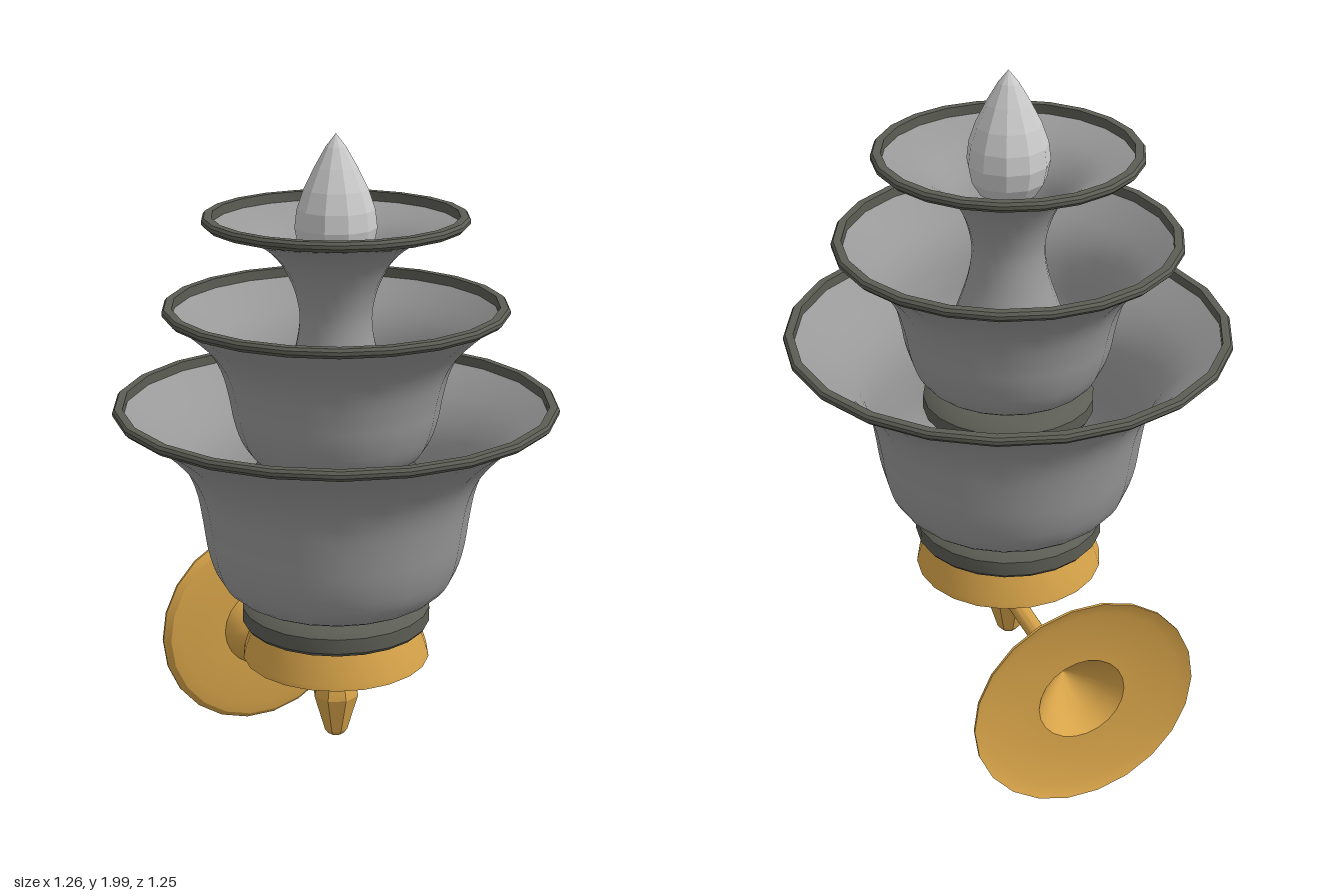
import * as THREE from 'three';
import { toCreasedNormals } from 'three/addons/utils/BufferGeometryUtils.js';

const SIDES = 22;
const glass = new THREE.MeshStandardMaterial({ color: 0x999999, side: THREE.DoubleSide });
const iron = new THREE.MeshStandardMaterial({ color: 0x5c5d54 });
const brass = new THREE.MeshStandardMaterial({ color: 0xd9a54a });
const bulbMaterial = new THREE.MeshStandardMaterial({ color: 0xcccccc, flatShading: true });

// Turned part: [radius, height] pairs, outside listed from bottom to top
function turned(name, profile, material, sides = SIDES, crease = 0.6) {
  const points = profile.map(([r, y]) => new THREE.Vector2(r, y));
  const lathe = new THREE.LatheGeometry(points, sides, Math.PI / 2);
  const mesh = new THREE.Mesh(toCreasedNormals(lathe, crease), material);
  mesh.name = name;
  return mesh;
}

// Flared shade: smooth thin bowl with a chamfered dark rim on top
function shade(name, profile, radius, top) {
  const group = new THREE.Group();
  group.name = name;
  const curve = new THREE.SplineCurve(profile.map(([r, y]) => new THREE.Vector2(r, y)));
  const bowl = new THREE.Mesh(new THREE.LatheGeometry(curve.getPoints(28), SIDES, Math.PI / 2), glass);
  bowl.name = name + 'Bowl';
  const inner = radius - 0.028;
  const rim = turned(name + 'Rim', [
    [inner, top - 0.028], [radius - 0.01, top - 0.028], [radius, top - 0.018],
    [radius, top - 0.008], [radius - 0.006, top], [inner, top], [inner, top - 0.028],
  ], iron);
  group.add(bowl, rim);
  return group;
}

// Dark collar that a shade sits in
function collar(name, r, bottom, height) {
  const y = (t) => bottom + t * height;
  return turned(name, [
    [0, y(0)], [r * 0.97, y(0)], [r, y(0.12)], [r, y(0.62)],
    [r * 0.93, y(0.8)], [r * 0.76, y(1)], [0, y(1)],
  ], iron);
}

export function createModel() {
  const model = new THREE.Group();
  model.name = 'wallLamp';

  // Three stacked shades
  model.add(
    shade('lowerShade', [
      [0, 0.66], [0.2, 0.661], [0.285, 0.675], [0.34, 0.725], [0.37, 0.81], [0.385, 0.91],
      [0.402, 1.0], [0.437, 1.075], [0.505, 1.15], [0.606, 1.224],
    ], 0.63, 1.25),
    shade('middleShade', [
      [0, 1.065], [0.15, 1.068], [0.225, 1.085], [0.265, 1.13], [0.29, 1.2],
      [0.303, 1.27], [0.325, 1.35], [0.37, 1.42], [0.462, 1.504],
    ], 0.485, 1.53),
    shade('upperShade', [
      [0.17, 1.24], [0.145, 1.31], [0.115, 1.4], [0.102, 1.48], [0.108, 1.54], [0.128, 1.6],
      [0.165, 1.66], [0.235, 1.715], [0.346, 1.754],
    ], 0.37, 1.78),
  );
  model.add(collar('lowerCollar', 0.275, 0.575, 0.087));
  model.add(collar('middleCollar', 0.245, 0.985, 0.08));

  // Bulb and its socket
  model.add(turned('bulb', [
    [0, 1.625], [0.045, 1.632], [0.08, 1.655], [0.105, 1.695], [0.115, 1.745], [0.109, 1.795],
    [0.09, 1.85], [0.06, 1.91], [0.028, 1.965], [0, 2],
  ], bulbMaterial, 11));
  model.add(turned('socket', [[0, 1.24], [0.05, 1.24], [0.05, 1.64], [0, 1.64]], iron));

  // Brass cup and the finial below it
  model.add(turned('cup', [
    [0, 0.405], [0.08, 0.407], [0.275, 0.47], [0.272, 0.485], [0.243, 0.577], [0, 0.577],
  ], brass));
  model.add(turned('finial', [
    [0, 0.205], [0.025, 0.205], [0.036, 0.22], [0.07, 0.335], [0.066, 0.355], [0.045, 0.415],
  ], brass, 8, 0.3));

  // Arm, flare and wall plate, turned about the z axis with a hollow back
  const bracket = turned('armAndWallPlate', [
    [0.027, 0.02], [0.027, 0.405], [0.034, 0.42], [0.052, 0.45], [0.095, 0.49], [0.118, 0.513],
    [0.13, 0.546], [0.275, 0.546], [0.312, 0.553], [0.331, 0.572], [0.331, 0.58],
    [0.29, 0.563], [0.13, 0.556], [0.09, 0.505], [0.045, 0.455], [0, 0.42],
  ], brass);
  bracket.rotation.x = -Math.PI / 2;
  bracket.position.y = 0.335;
  model.add(bracket);

  return model;
}
